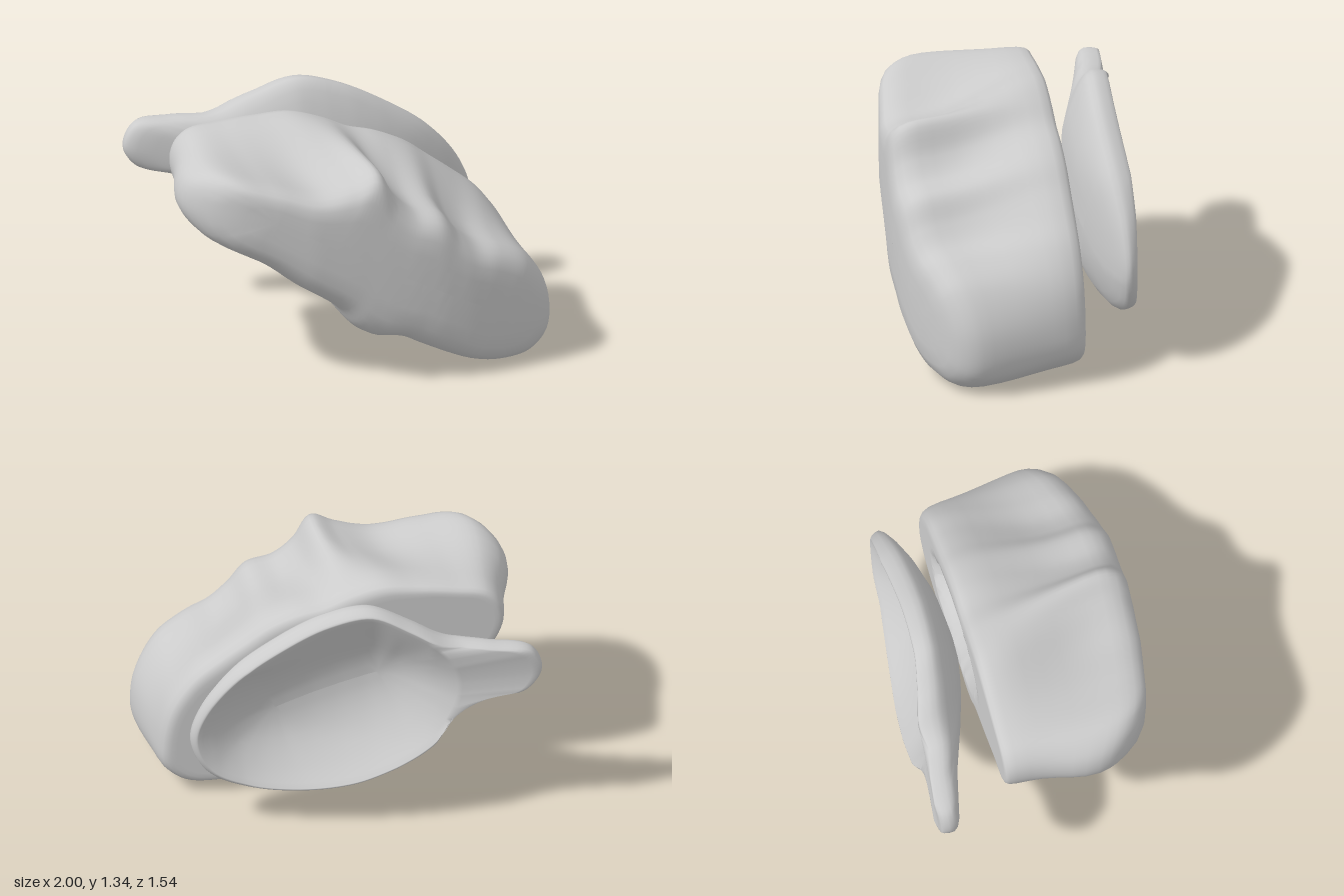
import * as THREE from 'three';
import { mergeVertices } from 'three/addons/utils/BufferGeometryUtils.js';

const { lerp, smoothstep } = THREE.MathUtils;

// Piecewise linear lookup in a short list of [x, value]
function table(pts, x) {
  if (x <= pts[0][0]) return pts[0][1];
  for (let i = 1; i < pts.length; i++) {
    const [x0, v0] = pts[i - 1], [x1, v1] = pts[i];
    if (x <= x1) return v0 + (v1 - v0) * (x - x0) / (x1 - x0);
  }
  return pts[pts.length - 1][1];
}

// Smooth closed outline through a few points
function outline(pts, n) {
  const c = new THREE.CatmullRomCurve3(pts.map(([x, y]) => new THREE.Vector3(x, y, 0)), true, 'centripetal');
  return Array.from({ length: n }, (_, i) => c.getPoint(i / n));
}

// Skin rings running from the front centre, around the edge, to the back centre.
// Each ring is [scale towards the spine, depth, blend from outline a to outline b].
function loft(a, b, spine, rings, zAt) {
  const n = a.length, pos = [], idx = [], p = new THREE.Vector3(), q = new THREE.Vector3();
  rings.forEach(([s, t, w], r) => {
    for (let j = 0; j < n; j++) {
      p.lerpVectors(a[j], b[j], w);
      spine.closestPointToPoint(p, true, q);
      p.sub(q);
      // Near the edge, long reaches are inset by distance so their ends stay blunt
      p.multiplyScalar(1 - (1 - s) * lerp(1, Math.min(1, 0.4 / p.length()), s * s)).add(q);
      pos.push(p.x, p.y, zAt(p.x, p.y, t));
      if (r < rings.length - 1) {
        const k = (j + 1) % n, o = r * n, u = o + n;
        idx.push(o + j, o + k, u + j, o + k, u + k, u + j);
      }
    }
  });
  let g = new THREE.BufferGeometry();
  g.setAttribute('position', new THREE.Float32BufferAttribute(pos, 3));
  g.setIndex(idx);
  g = mergeVertices(g, 1e-4);
  g.computeVertexNormals();
  return g;
}

const line = (x0, y0, x1, y1) => new THREE.Line3(new THREE.Vector3(x0, y0, 0), new THREE.Vector3(x1, y1, 0));

export function createModel() {
  const group = new THREE.Group();
  const mat = new THREE.MeshStandardMaterial({ color: 0xcccccc, roughness: 0.8, side: THREE.DoubleSide });
  const add = (name, geo) => {
    const m = new THREE.Mesh(geo, mat);
    m.name = name;
    group.add(m);
  };

  // Grip body: scalloped front outline blending into a plain back outline
  const lower = [[0.98, 0.12], [0.87, 0.02], [0.7, 0], [0.5, 0.04], [0.2, 0.18], [0.1, 0.23],
    [-0.05, 0.25], [-0.15, 0.31], [-0.23, 0.42], [-0.45, 0.57], [-0.62, 0.7]];
  const front = [[-1, 1], [-0.97, 1.15], [-0.85, 1.23], [-0.6, 1.18], [-0.35, 1.12], [-0.15, 1.17],
    [-0.02, 1.22], [0.08, 1.06], [0.18, 0.97], [0.33, 0.93], [0.43, 0.81], [0.53, 0.73],
    [0.68, 0.68], [0.85, 0.58], [0.98, 0.36], ...lower, [-0.91, 0.86]];
  const back = [[-0.88, 1.02], [-0.86, 1.15], [-0.78, 1.23], [-0.6, 1.26], [-0.4, 1.28], [-0.22, 1.29],
    [-0.05, 1.24], [0.1, 1.17], [0.25, 1.13], [0.4, 1.06], [0.52, 0.97], [0.65, 0.87],
    [0.8, 0.74], [0.92, 0.55], [0.97, 0.33], ...lower.map(([x, y]) => [x - 0.02, y + 0.05]), [-0.8, 0.84]];
  const faceZ = [[-1, 0.32], [-0.9, 0.43], [-0.8, 0.5], [-0.7, 0.545], [-0.4, 0.645], [-0.2, 0.69], [0, 0.73],
    [0.15, 0.755], [0.3, 0.77], [0.45, 0.768], [0.6, 0.75], [0.8, 0.71], [1, 0.65]];
  const bodyRings = [[0, 1], [0.4, 1], [0.65, 0.99], [0.8, 0.965], [0.9, 0.925], [0.96, 0.875], [0.99, 0.82],
    [1, 0.74], [1, 0.62], [1, 0.5], [1, 0.38], [1, 0.26], [1, 0.17], [0.985, 0.08], [0.95, 0.03],
    [0.9, 0.008], [0.83, 0], [0.75, 0], [0.67, 0], [0.58, 0], [0.49, 0], [0.4, 0], [0.3, 0], [0.2, 0], [0.1, 0], [0, 0]]
    .map(([s, t]) => [s, t, smoothstep(t, 0.03, 0.76)]);
  const bodyZ = (x, y, t) => {
    // Deep oval dish in the back that the cup sits in front of
    const dx = x - 0.2, dy = y - 0.64;
    const u = (dx * 0.85 - dy * 0.52) / 0.52, v = (dx * 0.52 + dy * 0.85) / 0.28;
    const dish = t === 0 ? 0.26 * Math.max(0, 1 - u * u - v * v) : 0;
    return lerp(-0.35 + 0.15 * (x + 0.88), table(faceZ, x), t) + dish;
  };
  add('gripBody', loft(outline(back, 160), outline(front, 160), line(-0.6, 1, 0.62, 0.35), bodyRings, bodyZ));

  // Cup: outer outline carries the thumb tab, rim outline closes the round bowl
  const bowlArc = [[-0.08, 1.34], [0.15, 1.29], [0.4, 1.16], [0.65, 0.98], [0.82, 0.76], [0.88, 0.55],
    [0.8, 0.35], [0.6, 0.24], [0.35, 0.21], [0.05, 0.25], [-0.2, 0.36], [-0.4, 0.5]];
  const outer = [...bowlArc, [-0.54, 0.69], [-0.72, 0.8], [-0.91, 0.86], [-0.98, 0.97],
    [-0.92, 1.1], [-0.72, 1.13], [-0.5, 1.15], [-0.3, 1.25]];
  const rim = [...bowlArc, [-0.5, 0.62], [-0.55, 0.72], [-0.58, 0.82], [-0.58, 0.92],
    [-0.55, 1.02], [-0.5, 1.1], [-0.42, 1.18], [-0.28, 1.26]];
  const shellZ = [[-0.98, -0.62], [-0.85, -0.595], [-0.7, -0.555], [-0.55, -0.485], [-0.4, -0.41], [-0.25, -0.34],
    [-0.1, -0.29], [0.05, -0.26], [0.2, -0.243], [0.35, -0.24], [0.5, -0.25], [0.7, -0.268], [0.88, -0.29]];
  const rimLine = [[-0.98, -0.77], [-0.85, -0.765], [-0.7, -0.725], [-0.55, -0.675], [-0.4, -0.695],
    [-0.2, -0.665], [0, -0.62], [0.3, -0.535], [0.6, -0.45], [0.75, -0.425], [0.88, -0.39]];
  // Cup rings outside, then a smooth dished inside
  const cupRings = [[0, 0, 0], [0.3, 0.015, 0], [0.55, 0.06, 0], [0.75, 0.14, 0], [0.88, 0.25, 0], [0.96, 0.38, 0],
    [1, 0.54, 0], [0.995, 0.72, 0], [0.975, 0.89, 0], [0.95, 0.98, 0], [0.935, 1, 0.1],
    ...[0.92, 0.86, 0.78, 0.7, 0.6, 0.5, 0.4, 0.3, 0.2, 0.1, 0].map((s) => [s, 0.26 + 0.74 * (s / 0.92) ** 2, 1])];
  const cupZ = (x, y, t) => {
    const high = Math.max(0, y - 1) * smoothstep(x, -0.7, -0.2);
    const frontZ = table(shellZ, x) - 0.22 * high - 0.15 * Math.max(0, 0.5 - y);
    return lerp(frontZ, table(rimLine, x) + 0.3 * high, t);
  };
  add('cupWithThumbTab', loft(outline(outer, 140), outline(rim, 140), line(-0.15, 0.85, 0.4, 0.65), cupRings, cupZ));

  return group;
}
